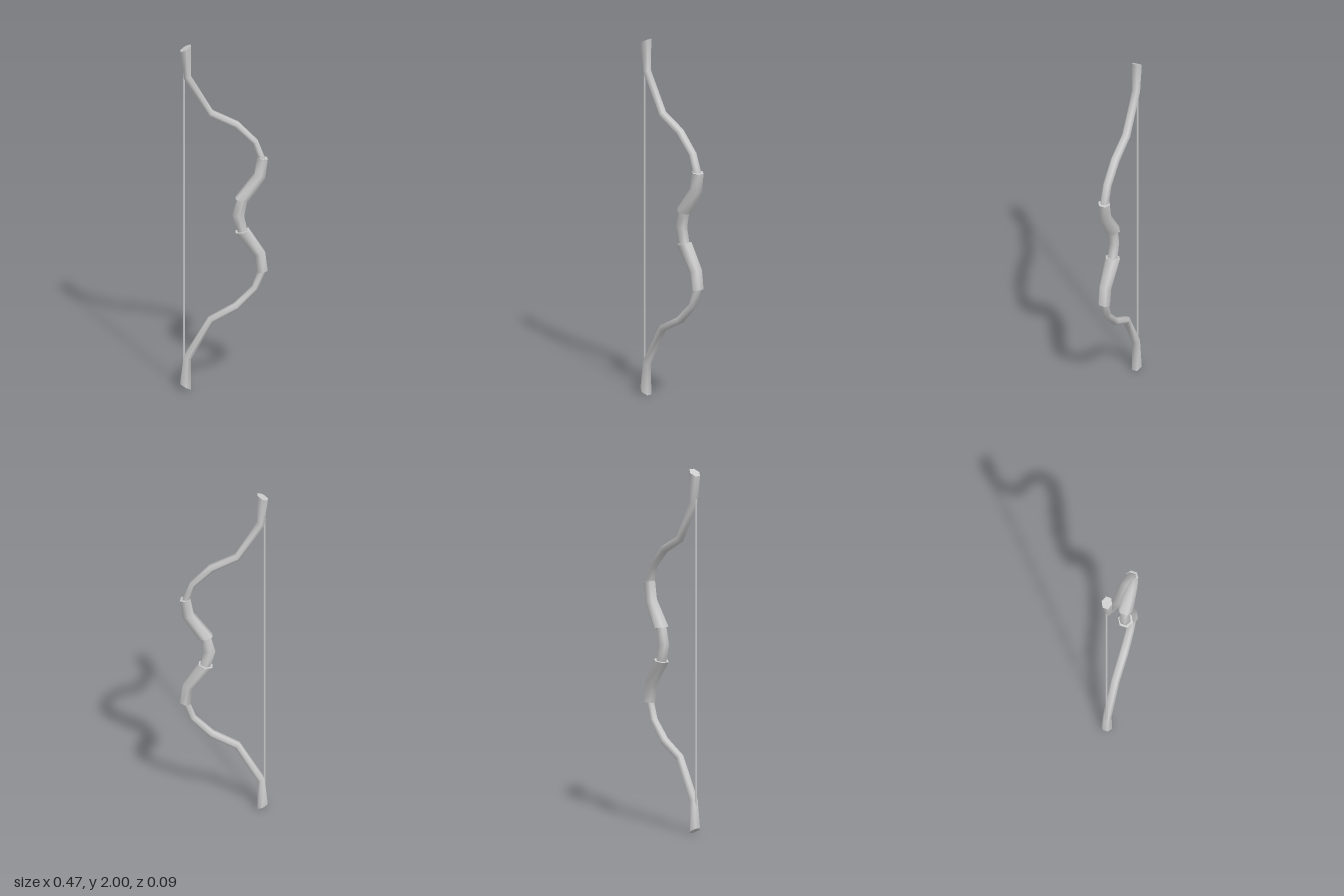
import * as THREE from 'three';

const material = new THREE.MeshStandardMaterial({ color: 0xcccccc });
const SIDES = 6;

// Smooth six-sided tube through stations [left x, left y, right x, right y, half depth], top to bottom
function loft(name, stations) {
  const pos = [], index = [];
  const ring = ([ax, ay, bx, by, r]) => {
    const start = pos.length / 3;
    for (let k = 0; k < SIDES; k++) {
      const a = (k + 0.5) * Math.PI * 2 / SIDES;
      const c = Math.cos(a) / Math.cos(Math.PI / SIDES) / 2;
      pos.push((ax + bx) / 2 + (bx - ax) * c, (ay + by) / 2 + (by - ay) * c, r * Math.sin(a));
    }
    return start;
  };
  const cap = (s, flip) => {
    const start = ring(s), centre = pos.length / 3;
    pos.push((s[0] + s[2]) / 2, (s[1] + s[3]) / 2, 0);
    for (let k = 0; k < SIDES; k++) {
      const a = start + k, b = start + (k + 1) % SIDES;
      index.push(centre, flip ? b : a, flip ? a : b);
    }
  };
  const starts = stations.map(ring);
  for (let i = 0; i + 1 < starts.length; i++) {
    for (let k = 0; k < SIDES; k++) {
      const n = (k + 1) % SIDES, p = starts[i], q = starts[i + 1];
      index.push(p + k, p + n, q + n, p + k, q + n, q + k);
    }
  }
  cap(stations[0], true);
  cap(stations[stations.length - 1], false);
  const geo = new THREE.BufferGeometry();
  geo.setAttribute('position', new THREE.Float32BufferAttribute(pos, 3));
  geo.setIndex(index);
  geo.computeVertexNormals();
  const mesh = new THREE.Mesh(geo, material);
  mesh.name = name;
  return mesh;
}

// Mirror a run of stations about the middle of the bow
const mirror = (s) => s.map(([ax, ay, bx, by, r]) => [ax, 2 - ay, bx, 2 - by, r]).reverse();

export function createModel() {
  const bow = new THREE.Group();
  bow.name = 'bow';

  // Recurved limb, from the flared tip into the riser
  const limb = [
    [-0.238, 1.968, -0.182, 2.0, 0.03],
    [-0.22, 1.81, -0.183, 1.825, 0.024],
    [-0.085, 1.587, -0.062, 1.615, 0.025],
    [0.056, 1.513, 0.078, 1.542, 0.026],
    [0.153, 1.418, 0.183, 1.432, 0.025],
    [0.186, 1.325, 0.224, 1.325, 0.025],
    [0.185, 1.28, 0.22, 1.28, 0.025],
  ];
  // Thick sleeve between limb and handle
  const riser = [
    [0.182, 1.335, 0.236, 1.325, 0.035],
    [0.165, 1.235, 0.222, 1.218, 0.036],
    [0.062, 1.098, 0.135, 1.082, 0.043],
  ];
  // Waisted handle, bowed toward the string
  const handleTop = [
    [0.09, 1.13, 0.14, 1.115, 0.028],
    [0.07, 1.085, 0.122, 1.075, 0.029],
  ];

  bow.add(
    loft('upperLimb', limb), loft('lowerLimb', mirror(limb)),
    loft('upperRiser', riser), loft('lowerRiser', mirror(riser)),
    loft('handle', [...handleTop, [0.046, 1, 0.108, 1, 0.028], ...mirror(handleTop)]),
  );

  // Taut string
  const string = new THREE.Mesh(new THREE.CylinderGeometry(0.006, 0.006, 1.68, 6), material);
  string.name = 'string';
  string.position.set(-0.22, 1, 0);
  bow.add(string);

  return bow;
}
